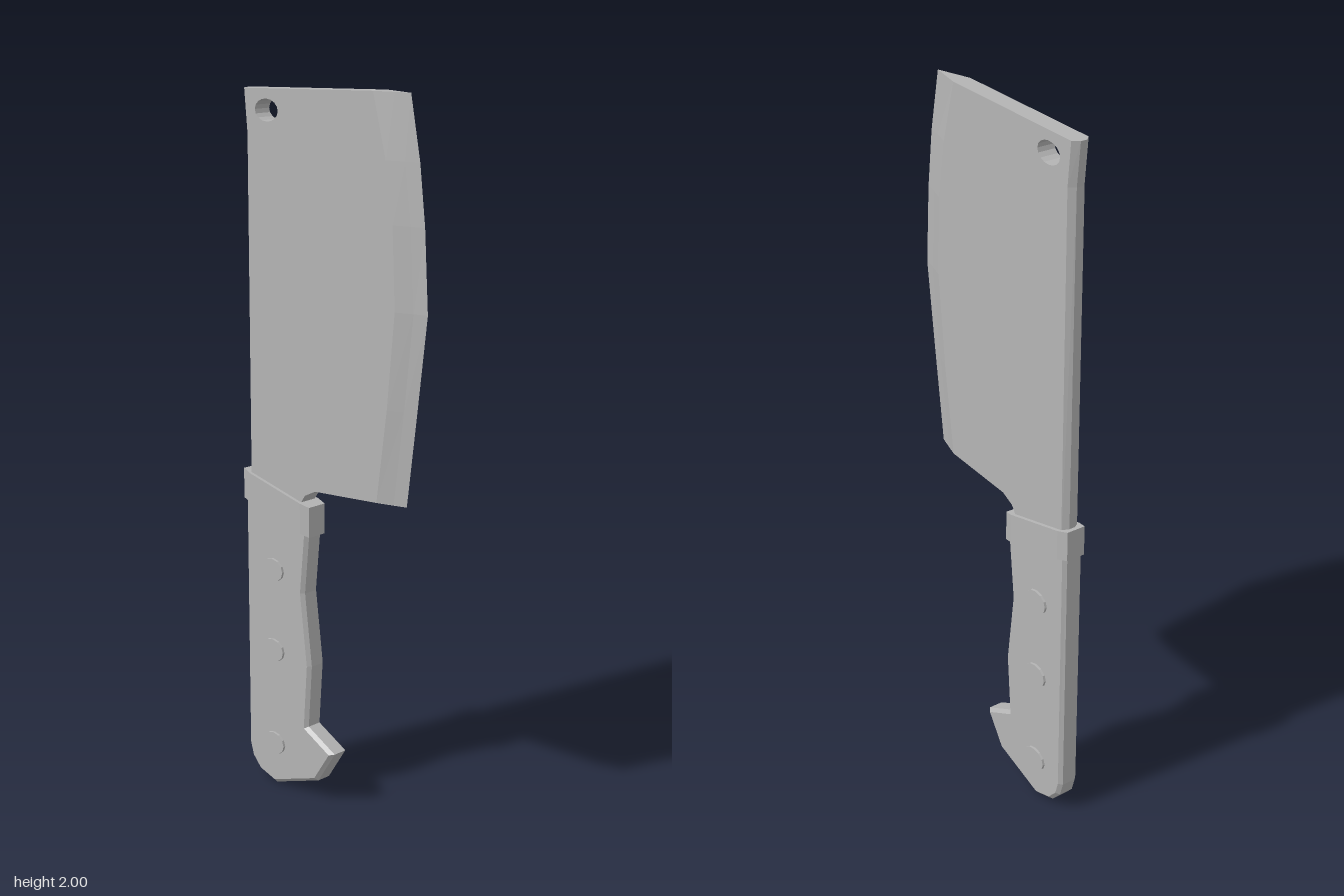
import * as THREE from 'three';

const steel = new THREE.MeshStandardMaterial({ color: 0xb4b4b4 });
steel.name = 'grey steel';

// Flat-faced solid through closed cross-sections, ordered bottom to top
function loft(sections) {
  const out = [];
  const n = sections[0].length;
  const tri = (a, b, c) => out.push(...a, ...b, ...c);
  for (let s = 0; s < sections.length - 1; s++) {
    const lo = sections[s], hi = sections[s + 1];
    for (let i = 0; i < n; i++) {
      const j = (i + 1) % n;
      tri(lo[i], lo[j], hi[j]);
      tri(lo[i], hi[j], hi[i]);
    }
  }
  const first = sections[0], last = sections[sections.length - 1];
  for (let i = 1; i < n - 1; i++) {
    tri(first[0], first[i + 1], first[i]);
    tri(last[0], last[i], last[i + 1]);
  }
  const g = new THREE.BufferGeometry();
  g.setAttribute('position', new THREE.Float32BufferAttribute(out, 3));
  g.computeVertexNormals();
  return g;
}

const outline = (pts) => new THREE.Shape(pts.map(([x, y]) => new THREE.Vector2(x, y)));

export function createModel() {
  const model = new THREE.Group();
  model.name = 'cleaver';
  const add = (name, geometry) => {
    const mesh = new THREE.Mesh(geometry, steel);
    mesh.name = name;
    model.add(mesh);
    return mesh;
  };

  // Blade: y, start of the ground bevel, cutting edge
  const T = 0.026;
  const edge = [
    [0.933, 0.18, 0.265], [1.19, 0.215, 0.298], [1.45, 0.24, 0.33],
    [1.67, 0.23, 0.317], [1.83, 0.205, 0.298], [1.998, 0.16, 0.265],
  ];
  // Spine: y, outer x, inner x
  const spine = [[0.82, -0.316, -0.304], [1.86, -0.318, -0.304], [1.978, -0.33, -0.315]];

  // Flat blade plate with the hanging hole
  const plate = outline([
    ...spine.map(([y, , x]) => [x, y]).reverse(),
    [-0.115, 0.82], [-0.11, 0.865], [-0.09, 0.895], [-0.05, 0.915],
    ...edge.map(([y, x]) => [x, y]),
  ]);
  const hole = new THREE.Path();
  hole.absellipse(-0.23, 1.925, 0.044, 0.03, 0, Math.PI * 2, true);
  plate.holes.push(hole);
  const plateGeo = new THREE.ExtrudeGeometry(plate, { depth: 2 * T, bevelEnabled: false, curveSegments: 8 });
  add('bladePlate', plateGeo.translate(0, 0, -T));

  // Slightly hollow ground cutting edge
  add('cuttingEdge', loft(edge.map(([y, a, b]) => {
    const m = a + (b - a) * 0.55, t = 0.0095;
    return [[b, y, 0], [m, y, -t], [a, y, -T], [a, y, T], [m, y, t]];
  })));

  // Chamfered spine
  add('bladeSpine', loft(spine.map(([y, o, i]) =>
    [[o, y, 0.009], [i, y, T], [i, y, -T], [o, y, -0.009]])));

  // Slanted collar with chamfered corners
  const ring = [[-0.333, 0.028], [-0.3, 0.036], [-0.1, 0.036], [-0.07, 0.03]];
  const section = [...ring, ...ring.map(([x, z]) => [x, -z]).reverse()];
  add('collar', loft([0.84, 0.926].map((y) =>
    section.map(([x, z]) => [x, y - (x + 0.333) * 0.23, z]))));

  // Handle with finger swell and hooked pommel
  const grip = outline([
    [-0.325, 0.87], [-0.325, 0.1], [-0.313, 0.058], [-0.28, 0.022], [-0.215, 0.002],
    [-0.045, 0.062], [0.02, 0.162], [-0.083, 0.215], [-0.07, 0.4],
    [-0.096, 0.61], [-0.075, 0.82],
  ]);
  const gripGeo = new THREE.ExtrudeGeometry(grip, {
    depth: 0.042, bevelEnabled: true, bevelThickness: 0.01, bevelSize: 0.01,
    bevelOffset: -0.01, bevelSegments: 1,
  });
  add('handle', gripGeo.translate(0, 0, -0.021));

  // Oval rivets through the handle
  const rivetGeo = new THREE.CylinderGeometry(1, 1, 0.076, 12).toNonIndexed();
  rivetGeo.rotateX(Math.PI / 2).scale(0.042, 0.033, 1);
  rivetGeo.computeVertexNormals();
  for (const y of [0.655, 0.415, 0.13]) add('rivet', rivetGeo).position.set(-0.212, y, 0);

  return model;
}
